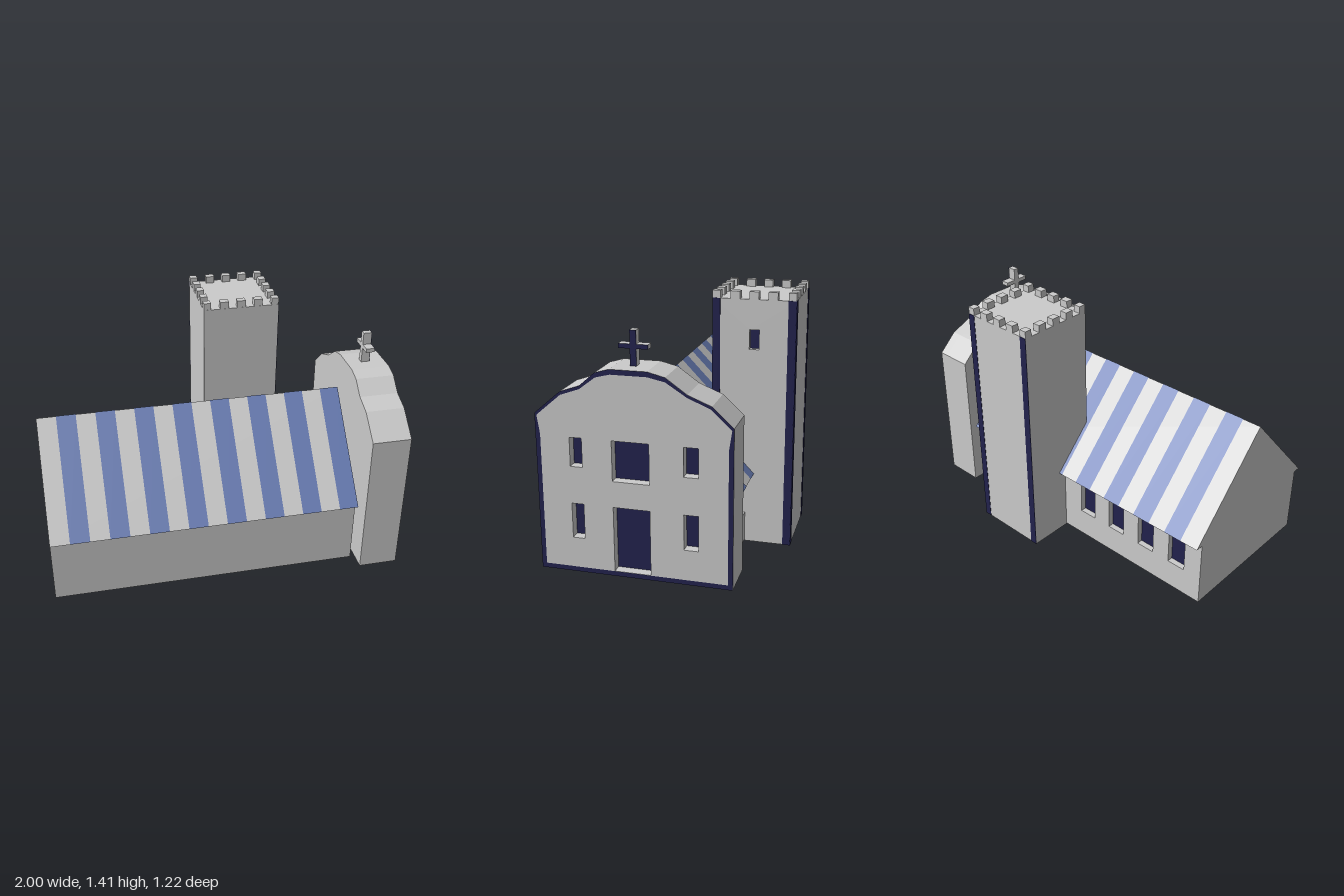
import * as THREE from 'three';

const grey = new THREE.MeshStandardMaterial({ color: 0xcccccc, flatShading: true });
const navy = new THREE.MeshStandardMaterial({ color: 0x22224e, flatShading: true });
const blue = new THREE.MeshStandardMaterial({ color: 0x687cb4, flatShading: true });

const points = (list) => list.map(([x, y]) => new THREE.Vector2(x, y));
const rect = (x0, x1, y0, y1) => [[x0, y0], [x1, y0], [x1, y1], [x0, y1]];

function add(parent, name, geometry, material) {
  const mesh = new THREE.Mesh(geometry, material);
  mesh.name = name;
  parent.add(mesh);
  return mesh;
}

function box(parent, name, [x0, x1], [y0, y1], [z0, z1], material = grey) {
  const mesh = add(parent, name, new THREE.BoxGeometry(x1 - x0, y1 - y0, z1 - z0), material);
  mesh.position.set((x0 + x1) / 2, (y0 + y1) / 2, (z0 + z1) / 2);
  return mesh;
}

function extrude(outline, holes, z0, z1) {
  const shape = new THREE.Shape(points(outline));
  holes.forEach((h) => shape.holes.push(new THREE.Path(points(rect(...h)))));
  return new THREE.ExtrudeGeometry(shape, { depth: z1 - z0, bevelEnabled: false }).translate(0, 0, z0);
}

// Flat coloured face lying just in front of local z
function face(parent, name, outline, hole, z, material) {
  const shape = new THREE.Shape(points(outline));
  if (hole) shape.holes.push(new THREE.Path(points(hole)));
  add(parent, name, new THREE.ShapeGeometry(shape).translate(0, 0, z), material);
}

// Solid block whose front (local z = 0) has recessed openings with dark panes
function blockWithOpenings(name, outline, openings, reveal, depth) {
  const group = new THREE.Group();
  group.name = name;
  add(group, name + 'Front', extrude(outline, openings, -reveal, 0), grey);
  add(group, name + 'Body', extrude(outline, [], -depth, -reveal), grey);
  openings.forEach((o) => face(group, name + 'Pane', rect(...o), null, -reveal + 0.002, navy));
  return group;
}

function makeNave() {
  const nave = new THREE.Group();
  nave.name = 'nave';
  const x0 = -1, x1 = 0.74, stripes = 16, step = (x1 - x0) / stripes;

  // Walls; the windows on the back sit under the blue roof stripes
  const windows = [1, 3, 5, 7, 13].map((i) => {
    const x = x0 + i * step;
    return [-x - step, -x, 0.18, 0.375];
  });
  const walls = blockWithOpenings('naveWall', rect(-x1, -x0, 0.015, 0.41), windows, 0.035, 0.89);
  walls.rotation.y = Math.PI;
  walls.position.z = -0.355;
  nave.add(walls);

  // Gabled roof core, with the two slopes covered by stripes
  const gable = [[-0.58, 0.41], [0.40, 0.41], [0.09 - 0.19, 0.933]];
  add(nave, 'roof', extrude(gable, [], x0, x1).rotateY(Math.PI / 2), grey);
  for (let i = 1; i < stripes; i += 2) {
    const a = x0 + i * step, b = a + step;
    [[0.58, 1], [-0.40, -1]].forEach(([eave, side]) => {
      const geometry = new THREE.BufferGeometry();
      const e = eave + side * 0.002, y = 0.412, r = 0.1, top = 0.935;
      const corners = side > 0
        ? [a, y, e, b, y, e, b, top, r, a, top, r]
        : [b, y, e, a, y, e, a, top, r, b, top, r];
      geometry.setAttribute('position', new THREE.Float32BufferAttribute(corners, 3));
      geometry.setIndex([0, 1, 2, 0, 2, 3]);
      geometry.computeVertexNormals();
      add(nave, 'roofStripe', geometry, blue);
    });
  }
  return nave;
}

function makeFacade() {
  // Local x is -z of the model
  const flip = (list) => list.map(([z, y]) => [-z, y]);
  const outline = flip([[0.61, 0], [-0.415, 0], [-0.415, 0.85], [-0.306, 0.951], [-0.185, 1.0],
    [-0.075, 1.078], [0.015, 1.1], [0.21, 1.1], [0.284, 1.078], [0.365, 1.007], [0.47, 0.97], [0.61, 0.85]]);
  const inner = flip([[0.585, 0.026], [-0.39, 0.026], [-0.39, 0.74], [-0.405, 0.84], [-0.3, 0.938], [-0.185, 0.985],
    [-0.075, 1.055], [0.015, 1.074], [0.205, 1.074], [0.28, 1.055], [0.365, 0.99], [0.468, 0.953], [0.6, 0.84], [0.585, 0.74]]);

  // Door, large window and four small windows
  const openings = [[-0.207, -0.013, 0.026, 0.38], [-0.207, -0.013, 0.52, 0.735]];
  for (const [a, b] of [[-0.43, -0.365], [0.163, 0.238]]) {
    openings.push([a, b, 0.19, 0.38], [a, b, 0.58, 0.735]);
  }
  const facade = blockWithOpenings('facade', outline, openings, 0.055, 0.223);
  face(facade, 'facadeTrim', outline, inner, 0.002, navy);
  facade.rotation.y = Math.PI / 2;
  facade.position.x = 0.998;
  return facade;
}

function makeCross() {
  const cross = new THREE.Group();
  cross.name = 'cross';
  const parts = [[[1.09, 1.28], [0.097, 0.13]], [[1.187, 1.21], [0.037, 0.097]], [[1.187, 1.21], [0.13, 0.19]]];
  for (const [y, z] of parts) {
    box(cross, 'crossBar', [0.86, 0.908], y, z);
    box(cross, 'crossFace', [0.908, 0.91], y, z, navy);
  }
  return cross;
}

function makeTower() {
  const tower = new THREE.Group();
  tower.name = 'tower';
  const x0 = 0, x1 = 0.442, z0 = -0.61, z1 = -0.167, y0 = 0.01, y1 = 1.37;
  const body = blockWithOpenings('towerWall', rect(-z1, -z0, y0, y1), [[0.366, 0.418, 1.105, 1.21]], 0.03, x1 - x0);
  body.rotation.y = Math.PI / 2;
  body.position.x = x1;
  tower.add(body);

  // Dark corner strips on the right and back walls
  const w = 0.042, t = 0.002;
  for (const z of [z0, z1 - w]) box(tower, 'cornerStrip', [x1, x1 + t], [y0, y1], [z, z + w], navy);
  for (const x of [x0, x1 - w]) box(tower, 'cornerStrip', [x, x + w], [y0, y1], [z0 - t, z0], navy);

  // Battlements: five along each edge, sharing the corners
  const spans = [[0, 0.042], [0.097, 0.147], [0.197, 0.246], [0.296, 0.346], [0.4, 0.442]];
  spans.forEach(([ax, bx], i) => spans.forEach(([az, bz], j) => {
    const onX = i % 4 === 0, onZ = j % 4 === 0;
    if (onX || onZ) box(tower, 'merlon', [x0 + ax, x0 + bx], [y1, 1.41], [z0 + az, z0 + bz]);
  }));
  return tower;
}

export function createModel() {
  const model = new THREE.Group();
  model.name = 'church';
  model.add(makeNave(), makeFacade(), makeCross(), makeTower());
  return model;
}
